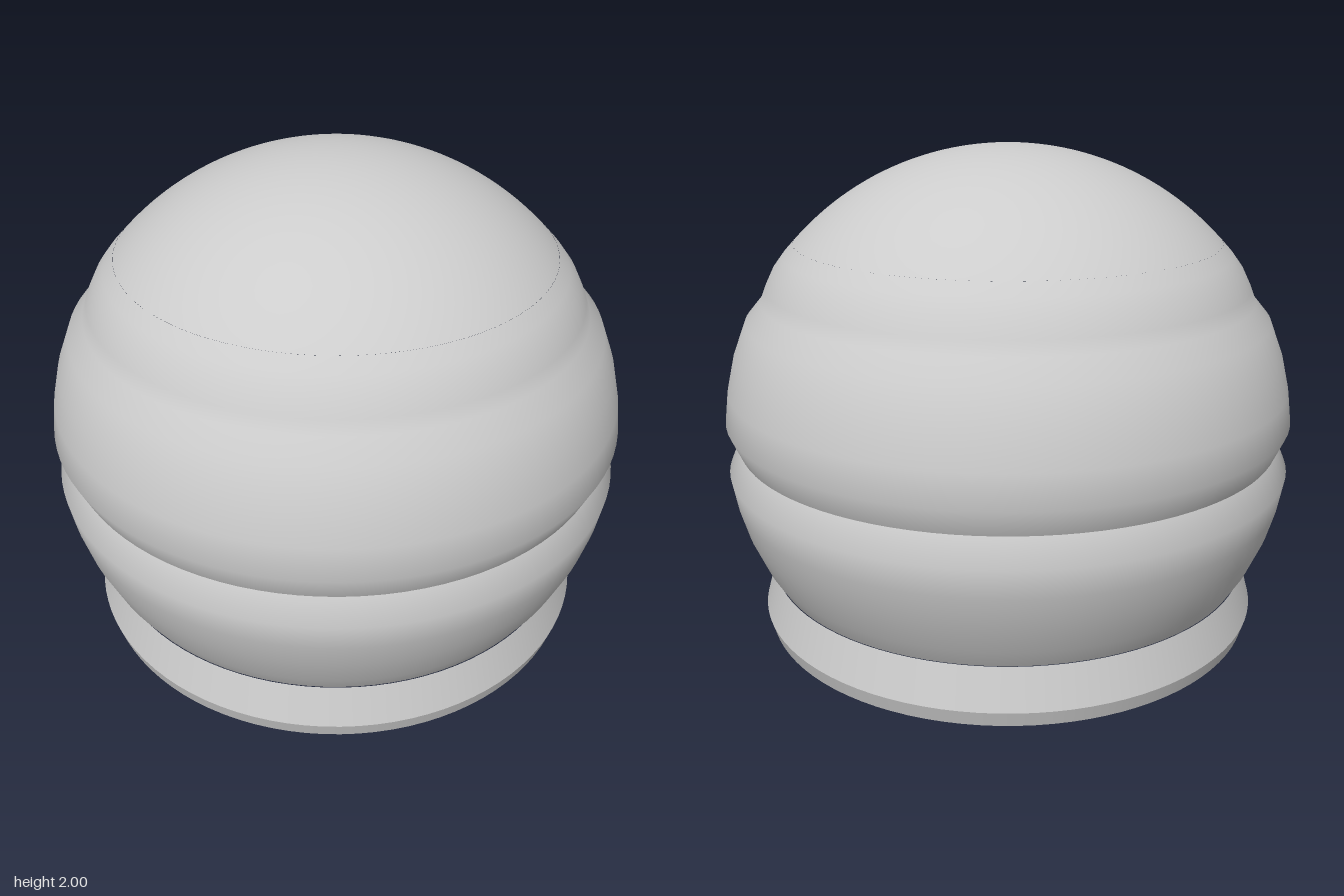
import * as THREE from 'three';

export function createModel() {
  const model = new THREE.Group();
  const grey = new THREE.MeshStandardMaterial({ color: 0xcccccc });
  grey.name = 'plain grey';

  const add = (name, geometry, y = 0) => {
    const mesh = new THREE.Mesh(geometry, grey);
    mesh.name = name;
    mesh.position.y = y;
    model.add(mesh);
  };
  // Profiles run from bottom to top as [radius, height]
  const turn = (name, profile) =>
    add(name, new THREE.LatheGeometry(profile.map(([r, y]) => new THREE.Vector2(r, y)), 96));

  // Exposed caps of the inner ball
  const topAngle = Math.acos(0.685);
  const bottomAngle = Math.acos(0.695);
  add('topCap', new THREE.SphereGeometry(1, 96, 24, 0, Math.PI * 2, 0, topAngle), 1);
  add('bottomCap', new THREE.SphereGeometry(1, 96, 24, 0, Math.PI * 2, Math.PI - bottomAngle, bottomAngle), 1);

  // Bulging bands meeting in a groove at mid height
  turn('upperBand', [
    [0.953, 1.0], [0.992, 1.09], [0.977, 1.2], [0.95, 1.31], [0.903, 1.43],
    [0.848, 1.495], [0.83, 1.54], [0.8, 1.6], [0.766, 1.645], [0.729, 1.685],
  ]);
  turn('lowerBand', [
    [0.857, 0.52], [0.898, 0.59], [0.948, 0.71], [0.975, 0.81], [0.992, 0.91], [0.953, 1.0],
  ]);

  // Collar with crisp edges: each face is turned separately
  const collar = [[0.718, 0.305], [0.82, 0.305], [0.884, 0.325], [0.9, 0.38], [0.86, 0.52]];
  const faces = ['collarUnderside', 'collarLowerBevel', 'collarEdge', 'collarSide'];
  faces.forEach((name, i) => turn(name, [collar[i], collar[i + 1]]));

  return model;
}
